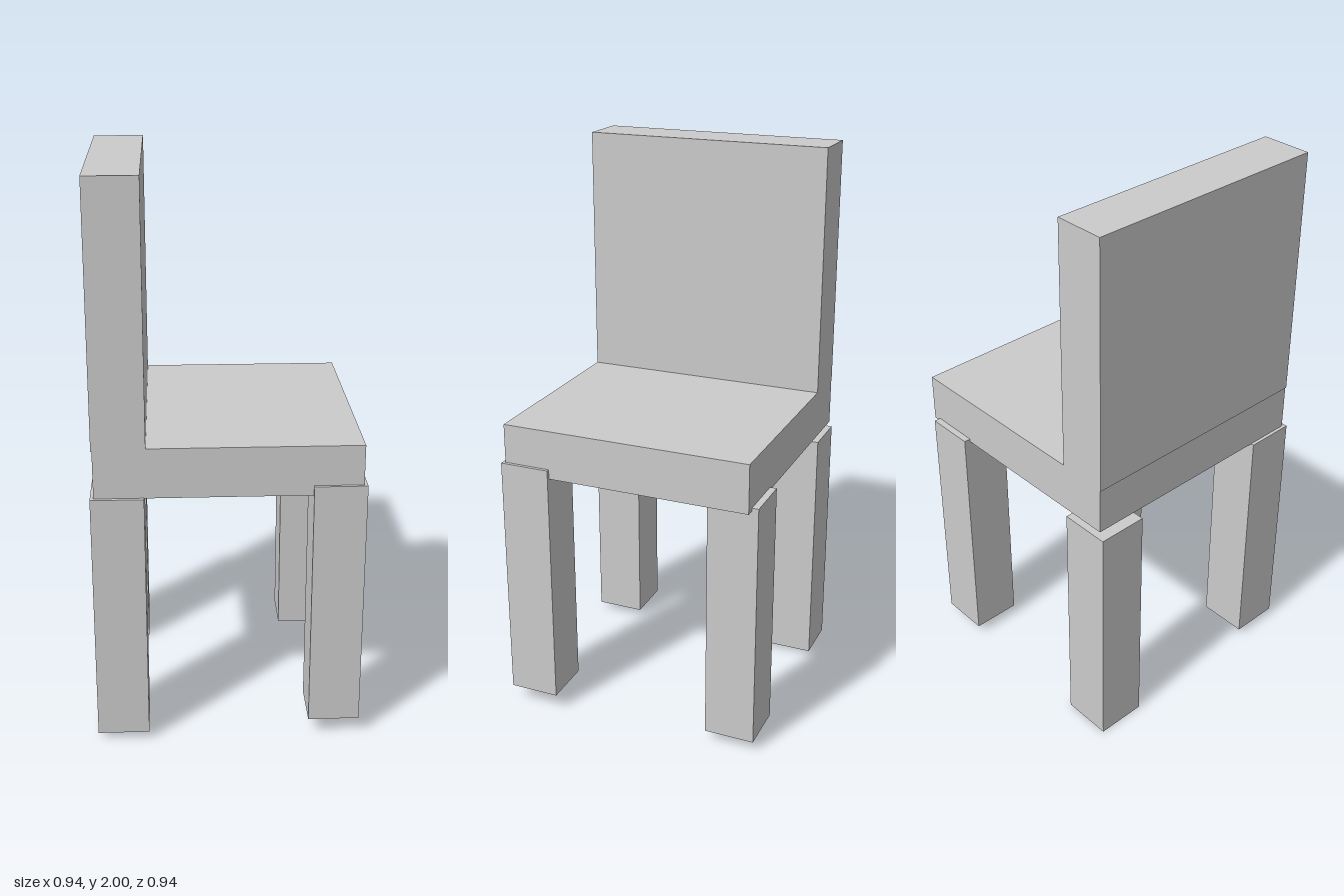
import * as THREE from 'three';

export function createModel() {
  const chair = new THREE.Group();
  chair.name = 'chair';
  const material = new THREE.MeshStandardMaterial({ color: 0xcccccc, flatShading: true });

  // Adds a box given its size and its minimum corner
  function addBox(name, [w, h, d], [x, y, z]) {
    const mesh = new THREE.Mesh(new THREE.BoxGeometry(w, h, d), material);
    mesh.name = name;
    mesh.position.set(x + w / 2, y + h / 2, z + d / 2);
    chair.add(mesh);
  }

  // Seat slab, with the backrest standing along its -x edge
  addBox('seat', [0.907, 0.177, 0.903], [-0.451, 0.93, -0.447]);
  addBox('backrest', [0.181, 0.9, 0.903], [-0.455, 1.1, -0.447]);

  // Four equal legs, each set slightly askew from the seat corners
  const legSize = [0.181, 0.904, 0.181];
  const legs = {
    backRightLeg: [-0.47, 0, -0.452],
    backLeftLeg: [0.245, 0.037, -0.471],
    frontRightLeg: [-0.463, 0.027, 0.288],
    frontLeftLeg: [0.287, 0.061, 0.286],
  };
  for (const [name, corner] of Object.entries(legs)) addBox(name, legSize, corner);

  return chair;
}
